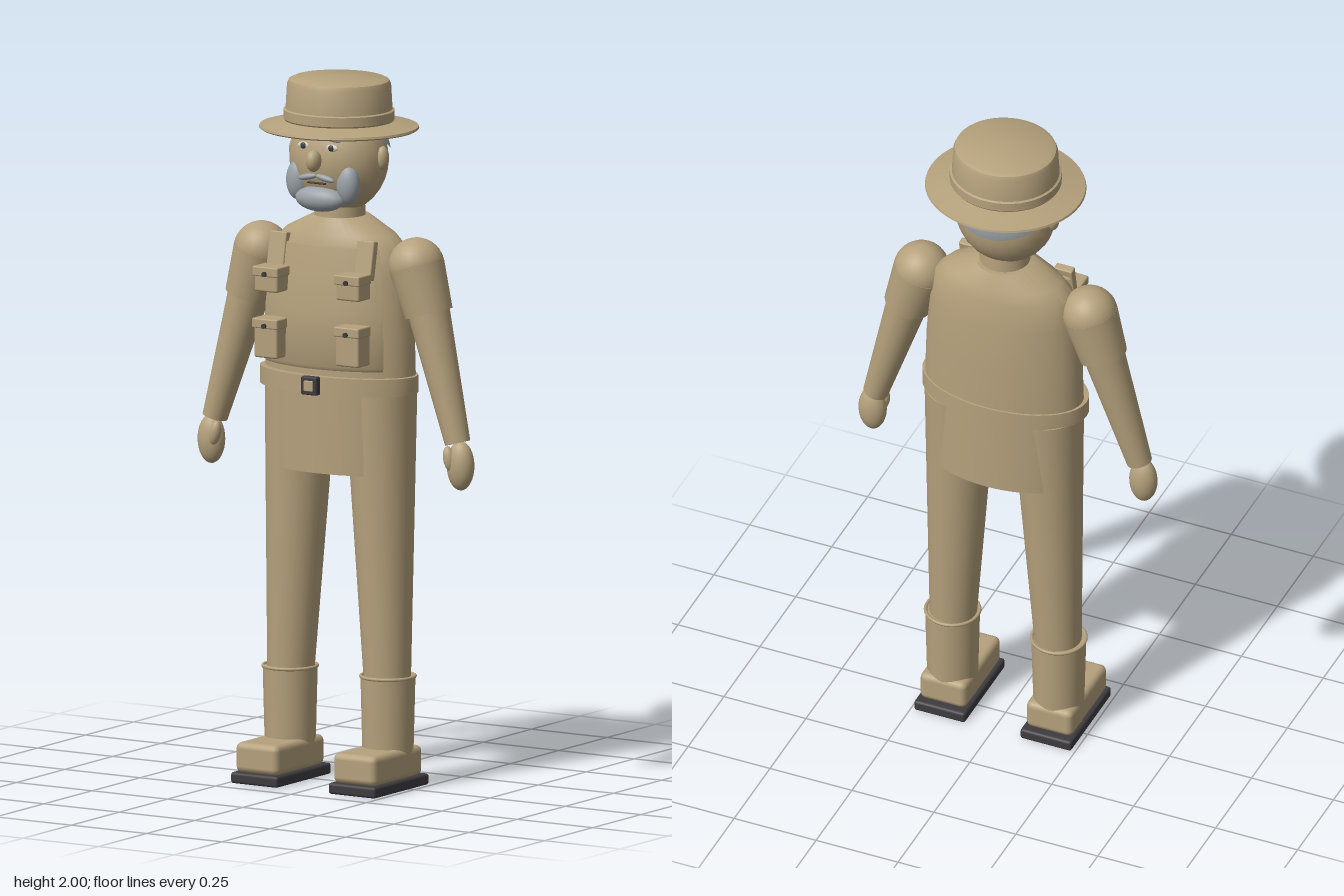
import * as THREE from 'three';
import { toCreasedNormals } from 'three/addons/utils/BufferGeometryUtils.js';
import { RoundedBoxGeometry } from 'three/addons/geometries/RoundedBoxGeometry.js';

const material = (name, color) => {
  const m = new THREE.MeshStandardMaterial({ color });
  m.name = name;
  return m;
};

export function createModel() {
  const tan = material('tan', 0xb5a17c);
  const grey = material('grey hair', 0x9aa1a6);
  const dark = material('dark rubber', 0x3d3b3e);
  const white = material('eye white', 0xd8d4c8);
  const model = new THREE.Group();
  model.name = 'fieldWorker';

  const add = (name, geometry, mat, x = 0, y = 0, z = 0) => {
    const mesh = new THREE.Mesh(geometry, mat);
    mesh.name = name;
    mesh.position.set(x, y, z);
    model.add(mesh);
    return mesh;
  };
  const ball = (name, mat, p, r) => {
    const mesh = add(name, new THREE.SphereGeometry(1, 24, 16), mat, ...p);
    mesh.scale.set(...r);
    return mesh;
  };
  const box = (name, mat, p, s, r = 0.006) =>
    add(name, new RoundedBoxGeometry(...s, 2, r), mat, ...p);

  // Tapered cylinder from the upper point a to the lower point b
  const limb = (name, mat, a, b, ra, rb) => {
    const top = new THREE.Vector3(...a), low = new THREE.Vector3(...b);
    const axis = top.clone().sub(low);
    const mid = top.clone().add(low).multiplyScalar(0.5);
    const mesh = add(name, new THREE.CylinderGeometry(ra, rb, axis.length(), 32), mat, mid.x, mid.y, mid.z);
    mesh.quaternion.setFromUnitVectors(new THREE.Vector3(0, 1, 0), axis.normalize());
    return mesh;
  };

  // Capped skin over elliptic sections [y, rx, rz, zCentre]; a half angle under PI gives a front wedge
  const loft = (rows, half = Math.PI, n = 40) => {
    const pos = [], index = [];
    const wedge = half < Math.PI;
    const count = wedge ? n + 2 : n;
    for (const [y, rx, rz, zc] of rows) {
      for (let i = 0; i < count; i++) {
        const a = -half + (2 * half * i) / n;
        if (wedge && i === n + 1) pos.push(0, y, zc);
        else pos.push(rx * Math.sin(a), y, zc + rz * Math.cos(a));
      }
    }
    const last = rows.length - 1;
    pos.push(0, rows[0][0], rows[0][3], 0, rows[last][0], rows[last][3]);
    const bottom = rows.length * count, top = bottom + 1;
    for (let i = 0; i < count; i++) {
      const j = (i + 1) % count;
      for (let k = 0; k < last; k++) {
        const a = k * count, b = a + count;
        index.push(a + i, a + j, b + j, a + i, b + j, b + i);
      }
      index.push(bottom, j, i, top, last * count + i, last * count + j);
    }
    const g = new THREE.BufferGeometry();
    g.setAttribute('position', new THREE.Float32BufferAttribute(pos, 3));
    g.setIndex(index);
    return toCreasedNormals(g, 0.6);
  };

  // Body
  add('torso', loft([
    [1.14, 0.237, 0.126, -0.008], [1.3, 0.232, 0.126, -0.008], [1.45, 0.22, 0.12, -0.01],
    [1.53, 0.205, 0.11, -0.01], [1.565, 0.17, 0.1, -0.01], [1.61, 0.08, 0.08, -0.01],
  ]), tan);
  add('vestFront', loft([
    [1.19, 0.236, 0.134, 0], [1.2, 0.242, 0.14, 0], [1.35, 0.238, 0.134, 0],
    [1.46, 0.227, 0.122, 0], [1.535, 0.21, 0.108, 0],
  ], 0.96), tan);
  add('belt', loft([[1.12, 0.247, 0.14, 0], [1.17, 0.247, 0.14, 0]]), tan);
  add('hips', loft([[0.89, 0.222, 0.122, -0.012], [1.13, 0.232, 0.124, -0.01]]), tan);
  box('buckle', dark, [0, 1.145, 0.148], [0.052, 0.052, 0.022], 0.004);
  box('bucklePlate', tan, [0, 1.145, 0.159], [0.03, 0.03, 0.006], 0.002);
  limb('neck', tan, [0, 1.68, -0.005], [0, 1.57, -0.005], 0.068, 0.074);

  // Head and beard
  ball('head', tan, [0, 1.77, 0], [0.145, 0.152, 0.124]);
  const hair = add('hair', new THREE.SphereGeometry(1, 32, 16, 0, Math.PI * 2, 0, 1.19), grey, 0, 1.77, 0);
  hair.scale.set(0.149, 0.152, 0.131);
  hair.rotation.x = -0.49;
  ball('nose', tan, [0, 1.78, 0.132], [0.021, 0.031, 0.025]);
  ball('chinBeard', grey, [0, 1.668, 0.1], [0.078, 0.036, 0.037]);
  box('mouth', dark, [0, 1.715, 0.117], [0.06, 0.005, 0.008], 0.002);

  // Hat: one closed profile from underside to crown
  const profile = [
    [0, 1.872], [0.14, 1.872], [0.222, 1.853], [0.228, 1.857], [0.226, 1.863], [0.155, 1.878],
    [0.158, 1.882], [0.158, 1.908], [0.152, 1.911], [0.148, 1.98], [0.143, 1.992], [0.13, 1.998], [0, 2.0],
  ].map(([x, y]) => new THREE.Vector2(x, y));
  add('hat', toCreasedNormals(new THREE.LatheGeometry(profile, 48), 0.6), tan).scale.z = 0.945;

  for (const s of [1, -1]) {
    const side = s > 0 ? 'left' : 'right';

    // Face
    ball(side + 'Ear', tan, [s * 0.145, 1.782, 0], [0.017, 0.034, 0.02]);
    ball(side + 'Eye', white, [s * 0.046, 1.817, 0.11], [0.02, 0.01, 0.006]);
    ball(side + 'Pupil', dark, [s * 0.046, 1.817, 0.114], [0.009, 0.009, 0.005]);
    ball(side + 'Eyebrow', grey, [s * 0.048, 1.839, 0.105], [0.024, 0.005, 0.007]).rotation.z = -s * 0.15;
    ball(side + 'Moustache', grey, [s * 0.028, 1.731, 0.118], [0.032, 0.009, 0.01]).rotation.z = -s * 0.2;
    ball(side + 'CheekBeard', grey, [s * 0.083, 1.713, 0.083], [0.035, 0.057, 0.03]);

    // Vest strap and pockets
    box(side + 'Strap', tan, [s * 0.145, 1.505, 0.088], [0.056, 0.11, 0.024], 0.004).rotation.x = -0.2;
    for (const [name, y, h, z] of [['UpperPocket', 1.435, 0.07, 0.138], ['LowerPocket', 1.268, 0.11, 0.14]]) {
      box(side + name, tan, [s * 0.135, y, z], [0.076, h, 0.064]);
      box(side + name + 'Flap', tan, [s * 0.135, y + h / 2 - 0.012, z + 0.004], [0.084, 0.028, 0.066], 0.004);
      const button = add(side + name + 'Button', new THREE.CylinderGeometry(0.007, 0.007, 0.008, 12),
        dark, s * 0.135, y + h / 2 - 0.018, z + 0.04);
      button.rotation.x = Math.PI / 2;
    }

    // Arm
    ball(side + 'Shoulder', tan, [s * 0.257, 1.488, 0], [0.079, 0.079, 0.079]);
    limb(side + 'Sleeve', tan, [s * 0.257, 1.488, 0], [s * 0.298, 1.355, 0], 0.079, 0.068);
    limb(side + 'Forearm', tan, [s * 0.295, 1.37, 0], [s * 0.402, 1.0, 0.014], 0.06, 0.036);
    ball(side + 'Hand', tan, [s * 0.413, 0.937, 0.016], [0.041, 0.07, 0.033]);
    ball(side + 'Thumb', tan, [s * 0.388, 0.957, 0.036], [0.017, 0.036, 0.017]).rotation.z = s * 0.2;

    // Leg and boot
    limb(side + 'Leg', tan, [s * 0.132, 1.12, -0.01], [s * 0.16, 0.3, 0], 0.102, 0.066);
    limb(side + 'BootShaft', tan, [s * 0.162, 0.315, 0], [s * 0.162, 0.04, 0], 0.077, 0.07);
    add(side + 'BootRim', new THREE.TorusGeometry(0.076, 0.005, 8, 32), tan, s * 0.162, 0.315, 0)
      .rotation.x = Math.PI / 2;
    box(side + 'Foot', tan, [s * 0.162, 0.073, 0.053], [0.142, 0.086, 0.255], 0.018);
    box(side + 'Sole', dark, [s * 0.162, 0.016, 0.048], [0.156, 0.032, 0.284], 0.008);
  }
  return model;
}
